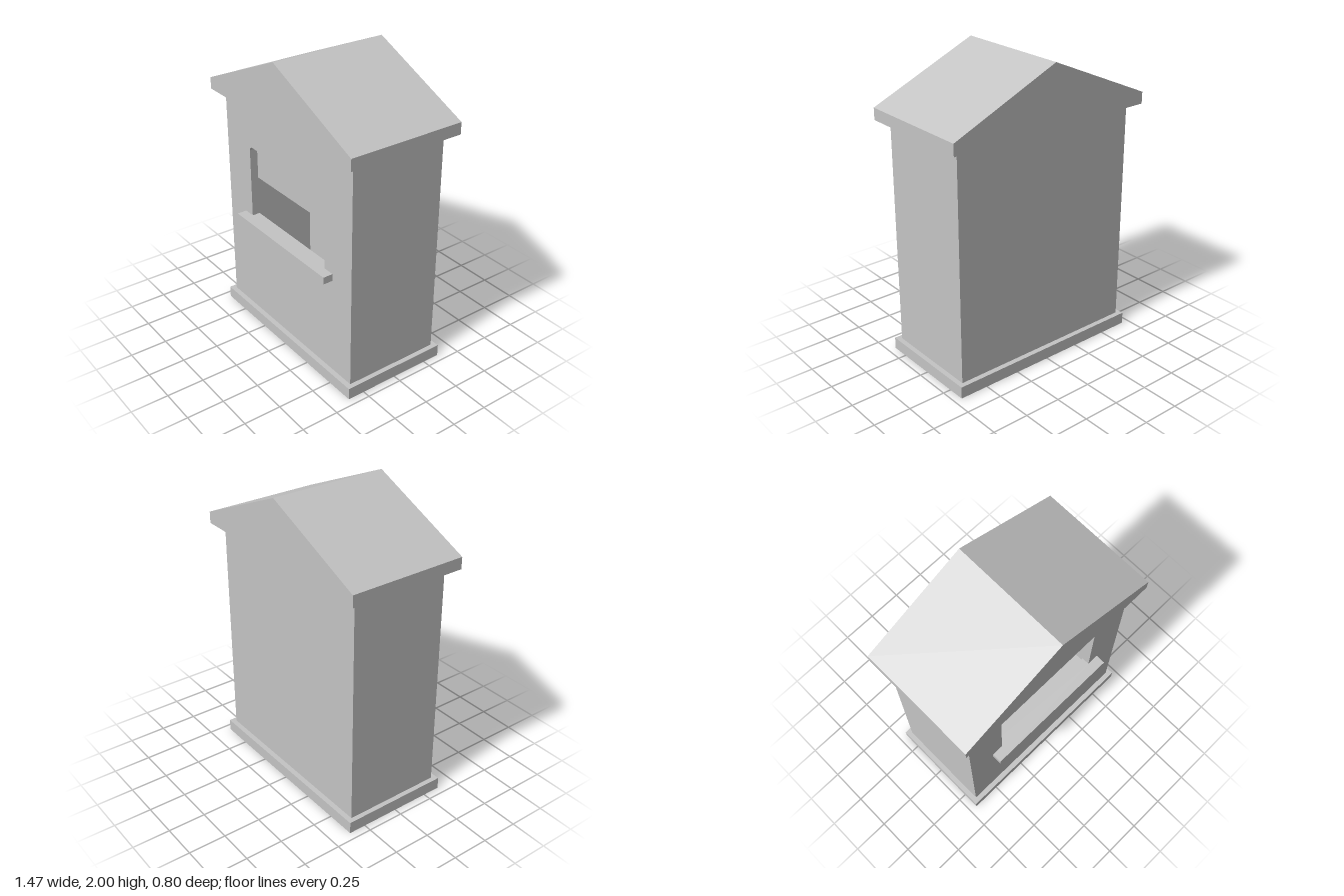
import * as THREE from 'three';

export function createModel() {
  const group = new THREE.Group();
  const grey = new THREE.MeshStandardMaterial({ color: 0xc4c4c4 });
  grey.name = 'plain grey';

  const add = (name, geometry, x = 0, y = 0, z = 0) => {
    const mesh = new THREE.Mesh(geometry, grey);
    mesh.name = name;
    mesh.position.set(x, y, z);
    group.add(mesh);
  };
  const box = (name, w, h, d, x, y, z) => add(name, new THREE.BoxGeometry(w, h, d), x, y, z);
  const extrude = (shape, depth) =>
    new THREE.ExtrudeGeometry(shape, { depth, bevelEnabled: false, curveSegments: 6 });

  // Overall sizes of the hollow cabin
  const hw = 0.665, hd = 0.333, t = 0.054, y0 = 0.08, y1 = 1.605;
  const h = y1 - y0, midY = (y0 + y1) / 2;

  // Serving window outline: square at the sill, rounded at the top
  const windowOutline = (Type, bottom) => {
    const w = 0.4, top = 1.3, r = 0.03;
    const p = new Type();
    p.moveTo(-w, bottom);
    p.lineTo(w, bottom);
    p.lineTo(w, top - r);
    p.absarc(w - r, top - r, r, 0, Math.PI / 2, false);
    p.lineTo(-w + r, top);
    p.absarc(-w + r, top - r, r, Math.PI / 2, Math.PI, false);
    p.closePath();
    return p;
  };

  // Base slab
  box('base', 1.395, 0.08, 0.735, 0, 0.04, 0);

  // Front wall with its opening
  const front = new THREE.Shape();
  front.moveTo(-hw, y0);
  front.lineTo(hw, y0);
  front.lineTo(hw, y1);
  front.lineTo(-hw, y1);
  front.closePath();
  front.holes.push(windowOutline(THREE.Path, 0.795));
  add('frontWall', extrude(front, t), 0, 0, hd - t);

  // Back and side walls
  box('backWall', hw * 2, h, t, 0, midY, -hd + t / 2);
  for (const s of [-1, 1]) {
    box(s > 0 ? 'leftWall' : 'rightWall', t, h, (hd - t) * 2, s * (hw - t / 2), midY, 0);
  }

  // Half-lowered shutter behind the opening, and the counter shelf
  add('shutter', extrude(windowOutline(THREE.Shape, 1.06), 0.03), 0, 0, hd - t - 0.03);
  box('counterShelf', 0.96, 0.048, 0.07, 0, 0.771, 0.365);

  // Gabled roof
  const gable = new THREE.Shape([
    [-0.733, 1.602], [0.733, 1.602], [0.733, 1.68], [0, 2], [-0.733, 1.68],
  ].map(([x, y]) => new THREE.Vector2(x, y)));
  add('roof', extrude(gable, 0.8), 0, 0, -0.4);

  return group;
}
